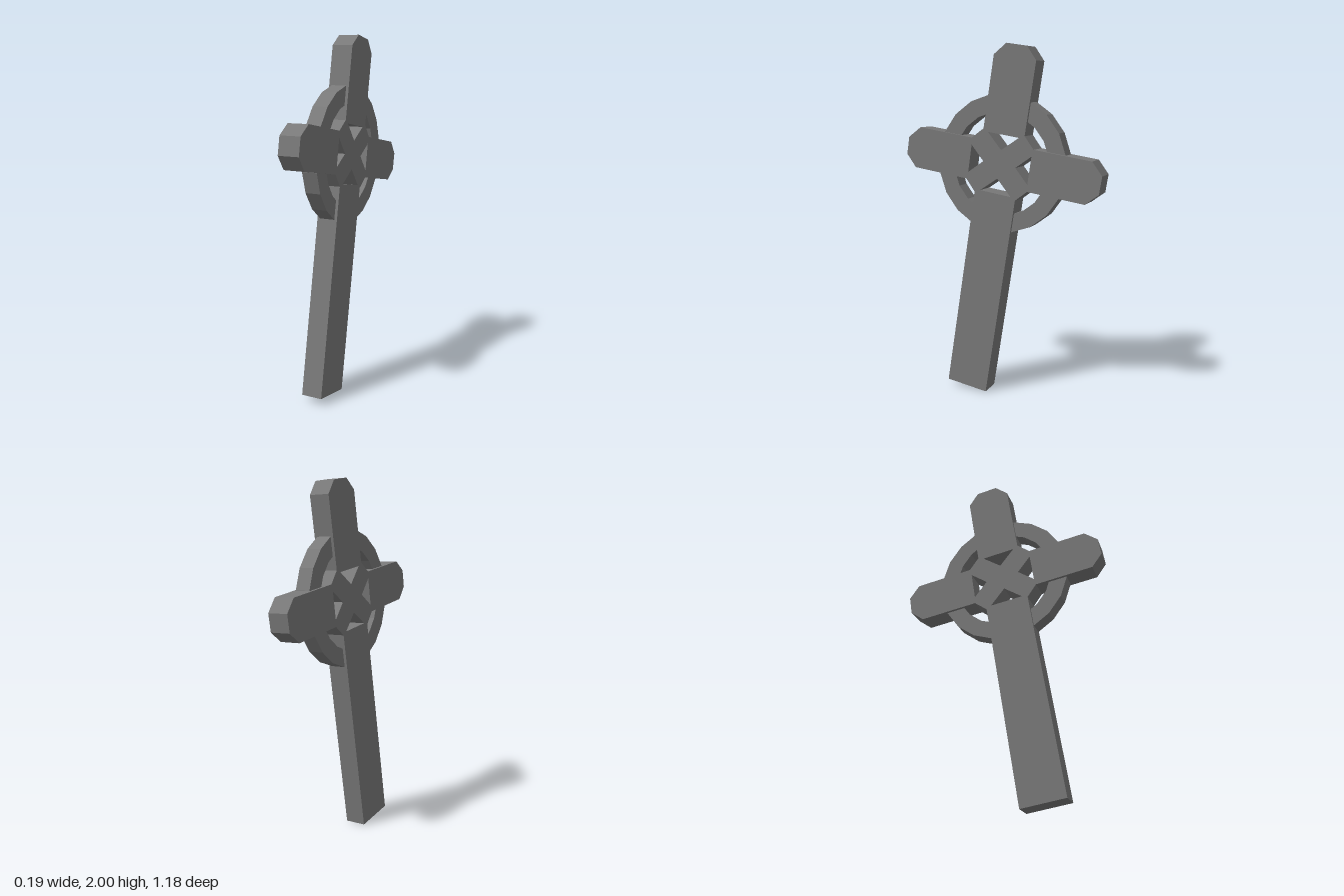
import * as THREE from 'three';

const material = new THREE.MeshStandardMaterial({ color: 0x797979, flatShading: true });

// Flat slab of the given outline, centred on its own thickness
function slab(name, shape, depth) {
  const geometry = new THREE.ExtrudeGeometry(shape, { depth, bevelEnabled: false });
  geometry.translate(0, 0, -depth / 2);
  const mesh = new THREE.Mesh(geometry, material);
  mesh.name = name;
  return mesh;
}

const toPoints = (list) => list.map(([x, y]) => new THREE.Vector2(x, y));

function polygon(radius, sides) {
  return Array.from({ length: sides }, (_, i) => {
    const a = (i / sides) * Math.PI * 2;
    return new THREE.Vector2(radius * Math.cos(a), radius * Math.sin(a));
  });
}

export function createModel() {
  const model = new THREE.Group();
  model.name = 'ringedCross';

  // Cross: right half of the outline, from the foot to the top, then mirrored
  const half = [
    [0.125, -1.347], [0.125, -0.18], [0.187, -0.117],
    [0.52, -0.117], [0.587, -0.05], [0.587, 0.05], [0.52, 0.117],
    [0.187, 0.117], [0.124, 0.18], [0.124, 0.582], [0.06, 0.65],
  ];
  const mirrored = half.map(([x, y]) => [-x, y]).reverse();
  // The upright leans a touch more than the arms
  const leaning = [...half, ...mirrored].map(([x, y]) => [x + 0.009 * y, y]);
  const outline = new THREE.Shape(toPoints(leaning));

  // Four triangular openings around the crossing
  for (const s of [1, -1]) {
    outline.holes.push(
      new THREE.Path(toPoints([[-0.094, 0.165 * s], [0.094, 0.165 * s], [0, 0.08 * s]])),
      new THREE.Path(toPoints([[0.182 * s, -0.078], [0.182 * s, 0.078], [0.098 * s, 0]])),
    );
  }
  model.add(slab('cross', outline, 0.12));

  // Thinner faceted ring behind the arms
  const ring = new THREE.Shape(polygon(0.385, 20));
  ring.holes.push(new THREE.Path(polygon(0.288, 20)));
  model.add(slab('ring', ring, 0.088));

  // Lean and turn: the broad face looks along +x, the shaft tilts
  const across = new THREE.Vector3(0.05, -0.156, -0.987).normalize();
  const normal = across.clone().cross(new THREE.Vector3(0.023, 0.987, -0.156)).normalize();
  const up = normal.clone().cross(across);
  model.quaternion.setFromRotationMatrix(new THREE.Matrix4().makeBasis(across, up, normal));
  model.position.set(0.002, 1.351, 0);

  const root = new THREE.Group();
  root.name = 'model';
  root.add(model);
  return root;
}
